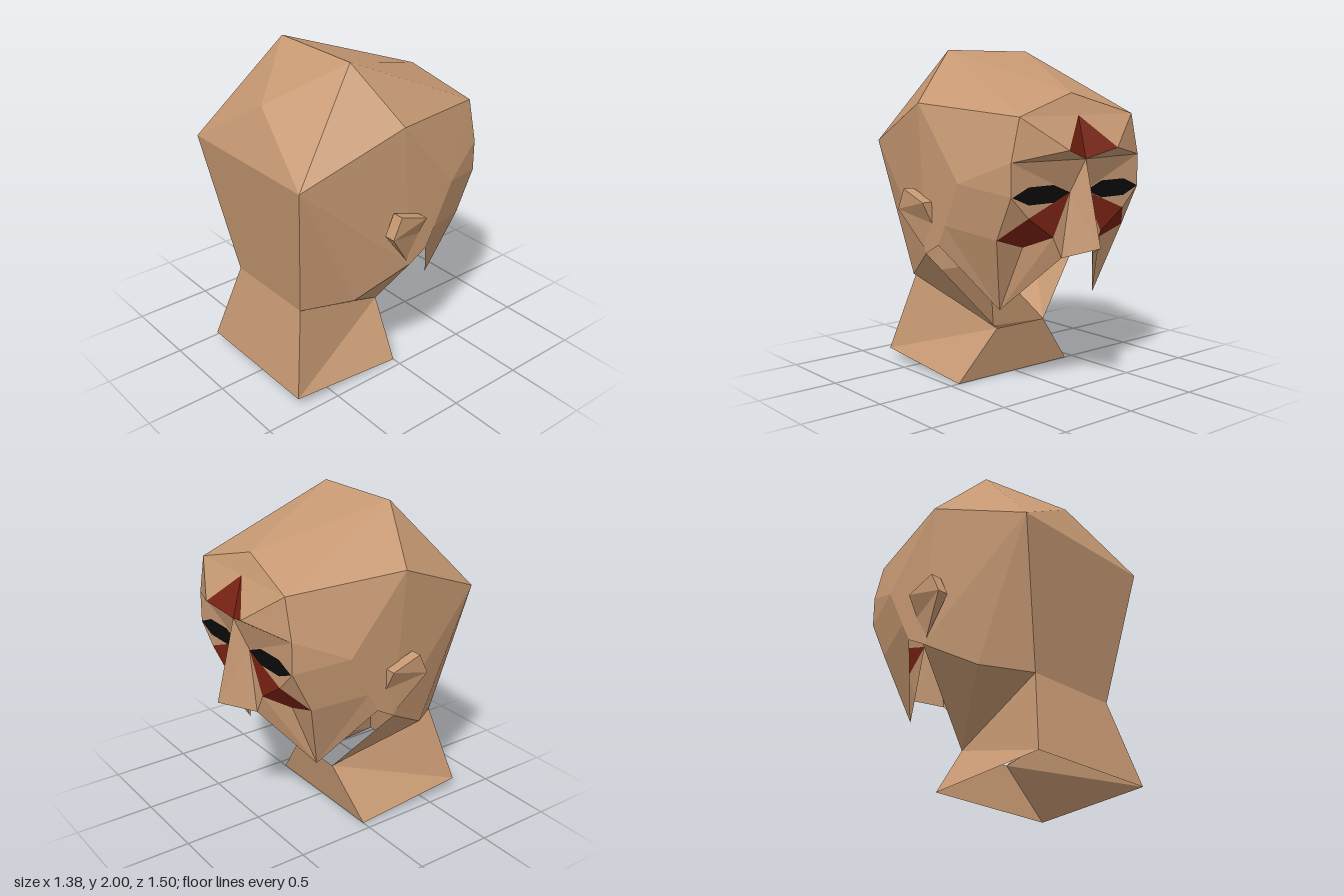
import * as THREE from 'three';

const SKIN = 0xc69872, RED = 0x7a2212, BLACK = 0x0a0a0a;

// Key points of one half (+x); a trailing "-" on a name means its mirror point
const SKULL = {
  crown: [0.31, 2, 0.25], temple: [0.625, 1.69, 0.125], backTop: [0, 1.75, 0.625],
  back: [0.5, 1.44, 0.75], hairline: [0, 1.75, -0.5], forehead: [0.44, 1.625, -0.56],
  foreMid: [0, 1.625, -0.56], browEnd: [0.5, 1.38, -0.56], cheekTop: [0.625, 1.25, -0.25],
  cheekMid: [0.625, 1, -0.125], cheekLow: [0.625, 0.88, -0.06], jawFront: [0.625, 0.815, 0.06],
  jawBack: [0.5, 0.63, 0.375], nape: [0.31, 0.565, 0.625],
};
const NECK = {
  neckBack: [0.44, 0.065, 0.75], neckFront: [0.44, 0, 0], throat: [0.19, 0.315, -0.06],
};
const FACE = {
  brow: [0.19, 1.44, -0.69], noseTop: [0, 1.38, -0.625], noseTip: [0, 0.88, -0.75],
  nostril: [0.125, 0.815, -0.56], eyeIn: [0.06, 1.19, -0.56], eyeOut: [0.5, 1.19, -0.56],
  markTop: [0.375, 1.065, -0.56], markIn: [0.19, 0.94, -0.56],
  markLow: [0.31, 0.88, -0.435], markOut: [0.5, 0.94, -0.435], chin: [0.375, 0.505, -0.31],
};
const EAR = {
  earBack: [0.69, 1.065, 0.25], earTop: [0.69, 1.19, 0.19], earFront: [0.69, 1.125, 0],
  rootBack: [0.62, 1.065, 0.25], rootTop: [0.62, 1.19, 0.19], rootFront: [0.62, 1.125, 0],
  rootLow: [0.625, 1, 0], lobe: [0.62, 0.84, 0.08],
};
const EYE = {
  lidIn: [0.19, 1.24, -0.564], lidOut: [0.375, 1.24, -0.564], cornerOut: [0.495, 1.19, -0.564],
  lowOut: [0.375, 1.14, -0.564], lowIn: [0.19, 1.14, -0.564], cornerIn: [0.065, 1.19, -0.564],
};
const POINTS = { ...SKULL, ...NECK, ...FACE, ...EAR, ...EYE };

function point(name) {
  const mirrored = name.endsWith('-');
  const [x, y, z] = POINTS[mirrored ? name.slice(0, -1) : name];
  return new THREE.Vector3(mirrored ? -x : x, y, z);
}

// Faces are strings of point names, split into fans and turned away from the centre
function patch(name, color, faces, mirror = false, centre = new THREE.Vector3(0, 1, 0.1)) {
  const position = [];
  const mid = centre.clone();
  if (mirror) mid.x *= -1;
  for (const face of faces) {
    const pts = face.split(' ').map(point);
    if (mirror) pts.forEach((p) => { p.x *= -1; });
    for (let i = 1; i < pts.length - 1; i++) {
      const tri = new THREE.Triangle(pts[0], pts[i], pts[i + 1]);
      const normal = tri.getNormal(new THREE.Vector3());
      const out = tri.getMidpoint(new THREE.Vector3()).sub(mid);
      const order = normal.dot(out) < 0 ? [tri.a, tri.c, tri.b] : [tri.a, tri.b, tri.c];
      order.forEach((p) => position.push(p.x, p.y, p.z));
    }
  }
  const geometry = new THREE.BufferGeometry();
  geometry.setAttribute('position', new THREE.Float32BufferAttribute(position, 3));
  geometry.computeVertexNormals();
  const mesh = new THREE.Mesh(geometry, new THREE.MeshStandardMaterial({
    color, flatShading: true, side: THREE.DoubleSide,
  }));
  mesh.name = name;
  return mesh;
}

export function createModel() {
  const model = new THREE.Group();
  model.name = 'head';

  // Panels that cross the centre line
  model.add(patch('skullCentre', SKIN, [
    'crown crown- backTop', 'back back- backTop', 'back back- nape- nape', 'crown crown- hairline',
  ]));
  model.add(patch('neckCentre', SKIN, [
    'nape nape- neckBack- neckBack', 'throat throat- neckFront- neckFront',
  ], false, new THREE.Vector3(0, 0.3, 0.35)));

  for (const mirror of [false, true]) {
    const side = mirror ? 'right' : 'left';
    const add = (part, color, faces, centre) =>
      model.add(patch(side + part, color, faces, mirror, centre));

    // Cranium and side of the head
    add('Skull', SKIN, [
      'crown backTop back', 'crown back temple', 'crown hairline forehead',
      'crown forehead temple', 'temple forehead cheekTop', 'forehead browEnd cheekTop',
      'hairline forehead foreMid', 'temple back jawFront',
      'temple jawFront cheekLow cheekMid cheekTop', 'back jawBack jawFront', 'back nape jawBack',
    ]);

    // Neck, open at the bottom and below the face
    add('Neck', SKIN, [
      'jawBack jawFront throat', 'jawBack throat nape',
      'nape neckBack throat', 'neckBack neckFront throat',
    ], new THREE.Vector3(0, 0.4, 0.35));

    // Brow, eye socket and cheek
    add('Face', SKIN, [
      'foreMid forehead brow', 'forehead browEnd brow', 'brow browEnd noseTop',
      'browEnd eyeIn noseTop', 'browEnd eyeOut eyeIn', 'browEnd cheekTop eyeOut',
      'eyeOut markTop eyeIn', 'eyeOut markOut markTop', 'cheekTop markOut eyeOut',
      'cheekTop cheekMid markOut', 'cheekMid chin markOut', 'cheekMid cheekLow chin',
      'markOut chin markLow', 'markLow chin markIn', 'markIn chin nostril', 'eyeIn markIn nostril',
    ]);

    add('Nose', SKIN, ['noseTop eyeIn noseTip', 'eyeIn nostril noseTip']);
    add('BrowMark', RED, ['foreMid brow noseTop']);
    add('CheekMark', RED, [
      'eyeIn markTop markIn', 'markTop markLow markIn', 'markTop markOut markLow',
    ]);
    add('Eye', BLACK, ['cornerIn lidIn lidOut cornerOut lowOut lowIn']);

    // Wedge ear tapering down to the lobe
    add('Ear', SKIN, [
      'earBack earTop earFront', 'earBack earFront rootLow', 'earBack rootLow lobe',
      'earBack earTop rootTop rootBack', 'earTop earFront rootFront rootTop',
      'earFront rootFront rootLow', 'earBack rootBack lobe',
    ], new THREE.Vector3(0.63, 1.07, 0.12));
  }
  return model;
}
